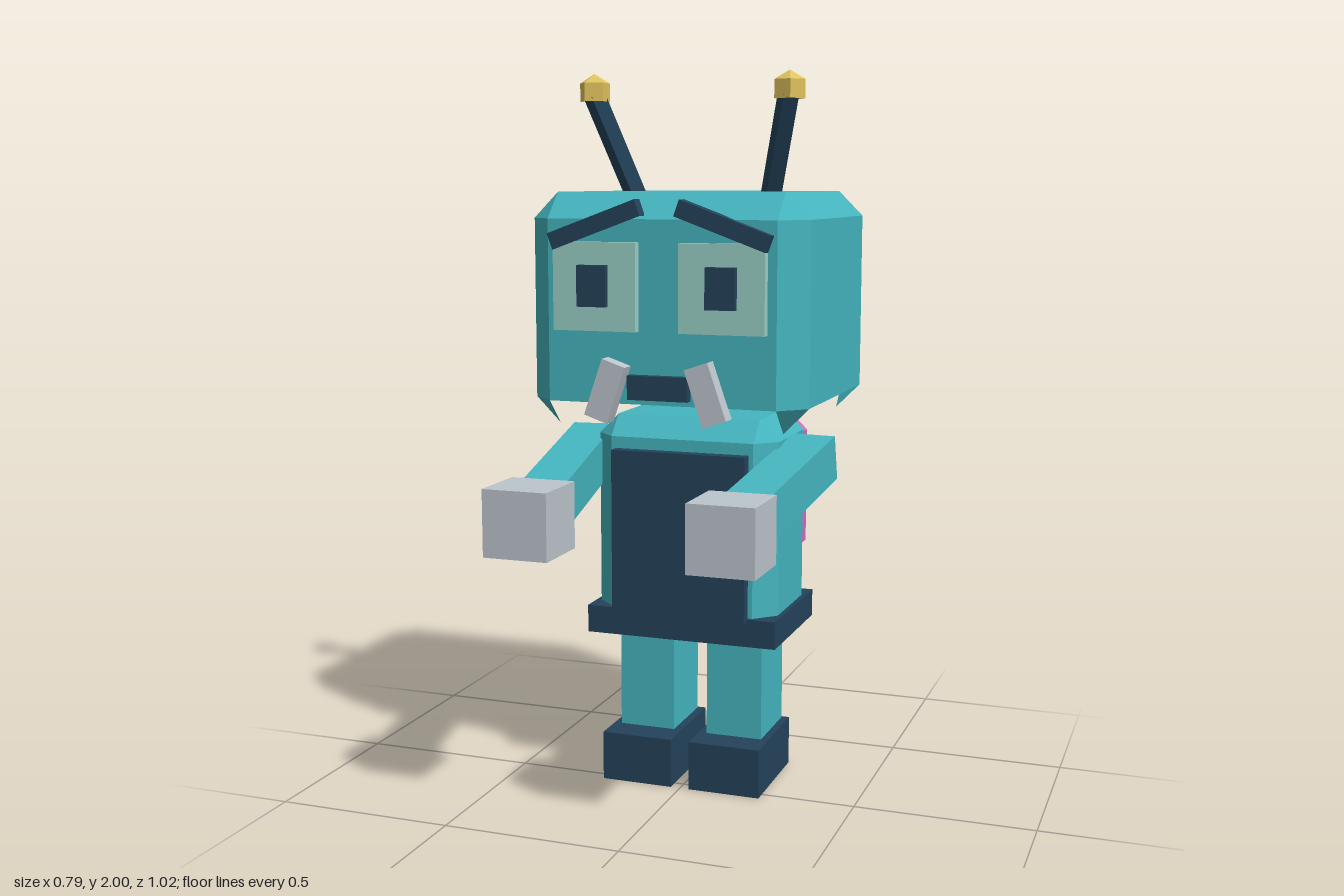
import * as THREE from 'three';

const mat = (name, color) => {
  const m = new THREE.MeshStandardMaterial({ color, side: THREE.DoubleSide, flatShading: true });
  m.name = name;
  return m;
};

// Box without its underside
function openBox(w, h, d) {
  const g = new THREE.BoxGeometry(w, h, d);
  const index = Array.from(g.index.array);
  index.splice(18, 6);
  g.setIndex(index);
  g.clearGroups();
  return g;
}

// Box with bevelled edges and corners; the underside and its edge bevels are left open
function bevelBox(w, h, d, c) {
  const half = [w / 2, h / 2, d / 2];
  const pos = [];
  // corner point lying on the face of the given axis
  const corner = (s, axis) => new THREE.Vector3(...s.map((v, i) => v * (half[i] - (i === axis ? 0 : c))));
  const poly = (...p) => {
    const n = p[1].clone().sub(p[0]).cross(p[2].clone().sub(p[0]));
    const mid = p.reduce((a, v) => a.add(v), new THREE.Vector3());
    if (n.dot(mid) < 0) p.reverse();
    for (let i = 1; i < p.length - 1; i++) [p[0], p[i], p[i + 1]].forEach((v) => pos.push(v.x, v.y, v.z));
  };
  const signs = [-1, 1];
  for (let a = 0; a < 3; a++) {
    const b = (a + 1) % 3, e = (a + 2) % 3;
    const make = (sa, sb, se) => { const s = []; s[a] = sa; s[b] = sb; s[e] = se; return s; };
    for (const sa of signs) {
      // flat side
      if (!(a === 1 && sa < 0)) {
        poly(...[[-1, -1], [1, -1], [1, 1], [-1, 1]].map(([u, v]) => corner(make(sa, u, v), a)));
      }
      // bevel between sides a and b
      for (const sb of signs) {
        if ((a === 1 && sa < 0) || (b === 1 && sb < 0)) continue;
        const p = make(sa, sb, -1), q = make(sa, sb, 1);
        poly(corner(p, a), corner(q, a), corner(q, b), corner(p, b));
      }
    }
  }
  for (const x of signs) for (const y of signs) for (const z of signs) {
    poly(...[0, 1, 2].map((a) => corner([x, y, z], a)));
  }
  const g = new THREE.BufferGeometry();
  g.setAttribute('position', new THREE.Float32BufferAttribute(pos, 3));
  g.computeVertexNormals();
  return g;
}

export function createModel() {
  const model = new THREE.Group();
  const teal = mat('teal', 0x45b5bf);
  const navy = mat('navy', 0x24435b);
  const mint = mat('pale mint', 0x9ad2c8);
  const grey = mat('light grey', 0xbcc5cd);
  const gold = mat('gold', 0xdfc25e);
  const pink = mat('pink', 0xd66bbf);

  const add = (name, geo, material, x, y, z) => {
    const m = new THREE.Mesh(geo, material);
    m.name = name;
    m.position.set(x, y, z);
    model.add(m);
    return m;
  };
  // part given by its limits on each axis
  const span = (name, material, [x0, x1], [y0, y1], [z0, z1], bevel = 0) => {
    const size = [x1 - x0, y1 - y0, z1 - z0];
    const geo = bevel ? bevelBox(...size, bevel) : openBox(...size);
    return add(name, geo, material, (x0 + x1) / 2, (y0 + y1) / 2, (z0 + z1) / 2);
  };
  // square rod between two points
  const rod = (name, material, from, to, t, open) => {
    const a = new THREE.Vector3(...from), b = new THREE.Vector3(...to);
    const len = a.distanceTo(b);
    const geo = open ? openBox(t, t, len) : new THREE.BoxGeometry(t, t, len);
    const p = a.add(b).multiplyScalar(0.5);
    add(name, geo, material, p.x, p.y, p.z).lookAt(...to);
  };

  // Head and body
  span('head', teal, [-0.39, 0.39], [1.05, 1.68], [-0.51, 0.185], 0.07);
  span('torso', teal, [-0.265, 0.265], [0.425, 1.06], [-0.34, 0.02], 0.057);
  span('bib', navy, [-0.195, 0.195], [0.505, 0.97], [0, 0.055]);
  span('belt', navy, [-0.278, 0.278], [0.435, 0.513], [-0.355, 0.033]);
  span('mouth', navy, [-0.085, 0.085], [1.135, 1.2], [0.17, 0.21]);

  // Backpack
  span('backpack', pink, [-0.235, 0.235], [0.595, 1.03], [-0.48, -0.34], 0.05);
  span('backpackPockets', pink, [-0.23, 0.23], [0.78, 0.92], [-0.475, -0.345]);

  for (const s of [-1, 1]) {
    const side = s > 0 ? 'left' : 'right';
    const sx = (a, b) => (s > 0 ? [a, b] : [-b, -a]);

    // Legs
    span(side + 'Leg', teal, sx(0.05, 0.213), [0.1, 0.42], [-0.265, -0.057]);
    span(side + 'Shoe', navy, sx(0.027, 0.234), [0, 0.14], [-0.272, 0.033]);

    // Arms reaching forward
    rod(side + 'Arm', teal, [s * 0.332, 0.948, -0.165], [s * 0.274, 0.839, 0.4], 0.125, true);
    span(side + 'Hand', grey, sx(0.187, 0.367), [0.75, 0.93], [0.33, 0.51]);

    // Face
    span(side + 'Eye', mint, sx(0.06, 0.295), [1.315, 1.55], [0.175, 0.21]);
    span(side + 'Pupil', navy, sx(0.138, 0.22), [1.38, 1.49], [0.19, 0.228]);
    add(side + 'Brow', openBox(0.265, 0.046, 0.04), navy, s * 0.179, 1.595, 0.191).rotation.z = -s * 0.35;
    add(side + 'Whisker', openBox(0.068, 0.16, 0.05), grey, s * 0.141, 1.158, 0.207).rotation.z = s * 0.33;

    // Antennae
    rod(side + 'Antenna', navy, [s * 0.185, 1.62, -0.175], [s * 0.28, 1.945, -0.045], 0.044, false);
    const tip = new THREE.SphereGeometry(0.05, 5, 2, 0, Math.PI * 2, 0, Math.PI * 2 / 3);
    add(side + 'AntennaTip', tip, gold, s * 0.28, 1.95, -0.052).rotation.y = s > 0 ? Math.PI : 0;

    // Backpack buckles
    span(side + 'Buckle', gold, sx(0.08, 0.17), [0.825, 0.905], [-0.498, -0.46]);
  }
  return model;
}
